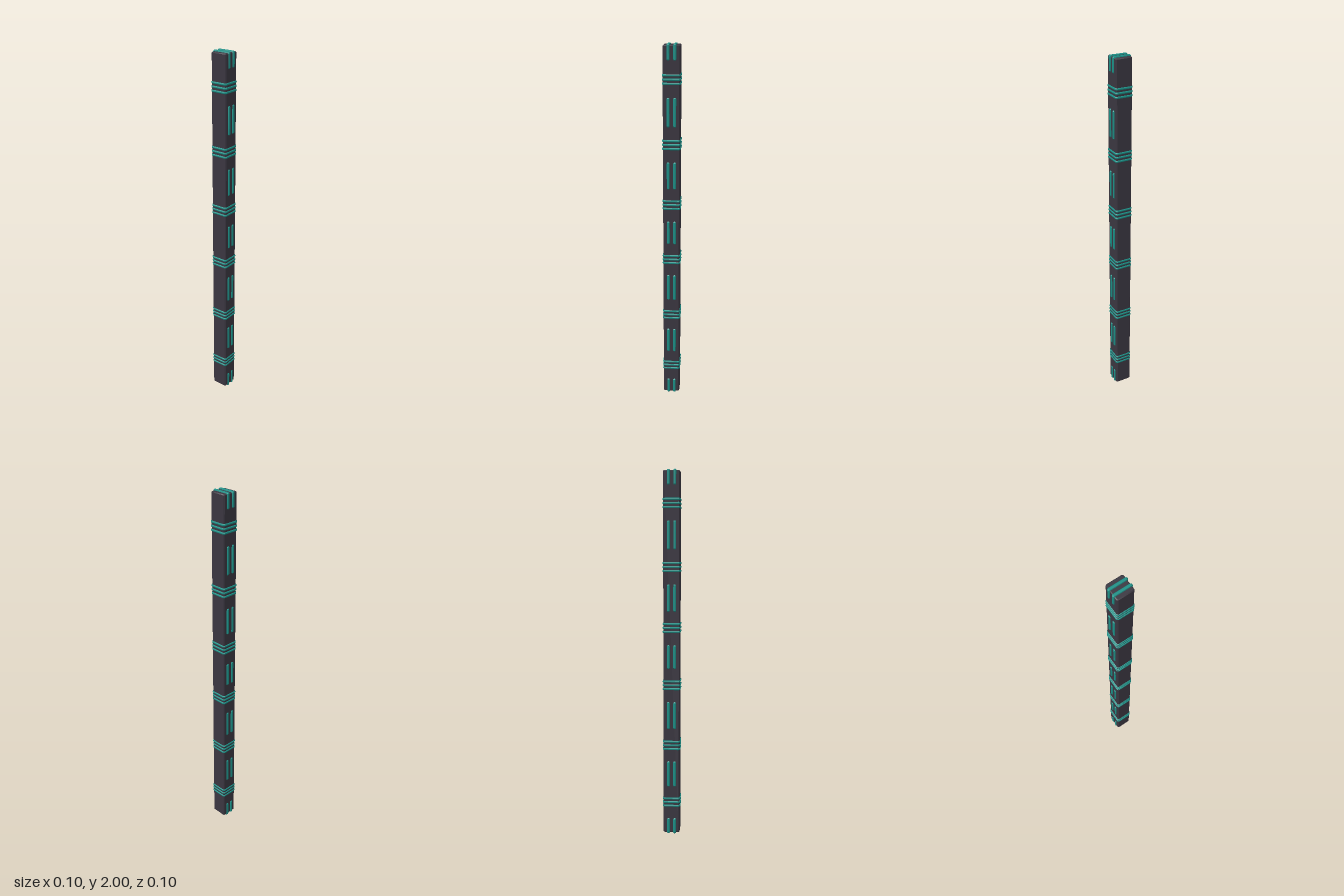
import * as THREE from 'three';
import { toCreasedNormals } from 'three/addons/utils/BufferGeometryUtils.js';

const dark = new THREE.MeshStandardMaterial({ color: 0x3a3640 });
const teal = new THREE.MeshStandardMaterial({ color: 0x1c8f86 });

// Slab with cut corners and a bevelled rim: w by h outline, t thick along z, centred
function slab(w, h, t, cut, bevel, segments) {
  const x = w / 2 - bevel, y = h / 2 - bevel;
  const outline = new THREE.Shape([
    [x - cut, -y], [x, -y + cut], [x, y - cut], [x - cut, y],
    [-x + cut, y], [-x, y - cut], [-x, -y + cut], [-x + cut, -y],
  ].map(([a, b]) => new THREE.Vector2(a, b)));
  const g = new THREE.ExtrudeGeometry(outline, {
    depth: t - 2 * bevel, bevelEnabled: true, bevelSize: bevel,
    bevelThickness: bevel, bevelSegments: segments,
  });
  g.translate(0, 0, bevel - t / 2);
  return toCreasedNormals(g, 0.6);
}

export function createModel() {
  const model = new THREE.Group();
  const add = (name, geometry, material, x, y) => {
    const mesh = new THREE.Mesh(geometry, material);
    mesh.name = name;
    mesh.position.set(x, y, 0);
    model.add(mesh);
  };

  // Long square post with bevelled edges
  add('post', slab(0.09, 0.09, 1.988, 0.003, 0.004, 1).rotateX(Math.PI / 2), dark, 0, 1);

  // Groups of three rounded rings around the post
  const ring = slab(0.098, 0.098, 0.012, 0.006, 0.005, 4).rotateX(Math.PI / 2);
  for (const y of [0.183, 0.51, 0.848, 1.163, 1.49, 1.825]) {
    for (const step of [-1, 0, 1]) add('ring', ring, teal, 0, y + step * 0.021);
  }

  // Pairs of upright rounded ribs on front and back; the end pairs wrap over the caps
  const spans = [[0, 0.09], [0.273, 0.42], [0.602, 0.755], [0.938, 1.07],
    [1.25, 1.398], [1.582, 1.735], [1.918, 2]];
  for (const [low, high] of spans) {
    const rib = slab(0.1, high - low, 0.016, 0.002, 0.006, 4).rotateY(Math.PI / 2);
    const name = low === 0 || high === 2 ? 'capStrap' : 'rib';
    for (const x of [-0.017, 0.017]) add(name, rib, teal, x, (low + high) / 2);
  }
  return model;
}
